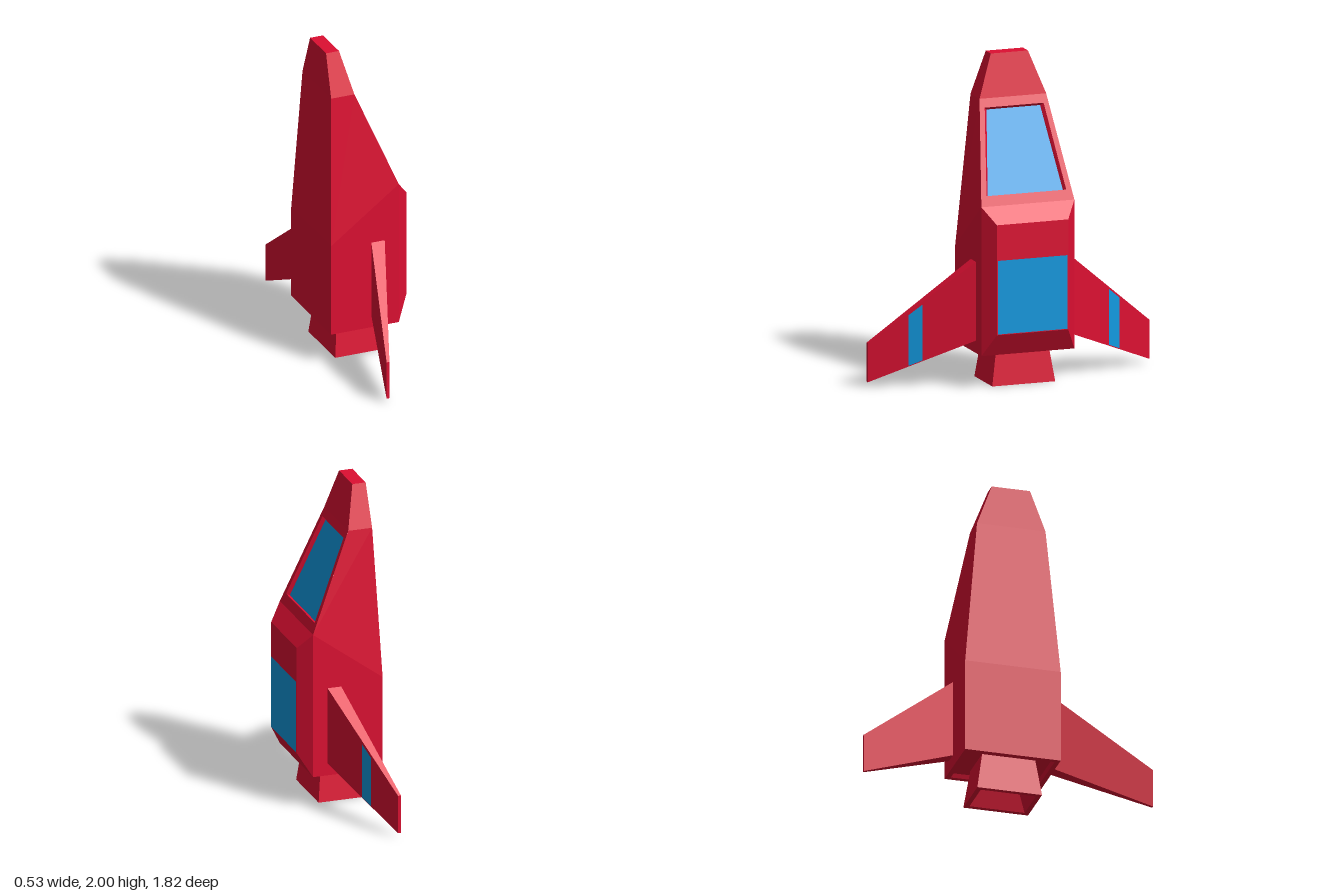
import * as THREE from 'three';

const red = new THREE.MeshStandardMaterial({ color: 0xdd0f32 });
red.name = 'hull red';
const blue = new THREE.MeshStandardMaterial({ color: 0x119ae0 });
blue.name = 'window blue';

// Joins four-cornered rings with flat quads; corners run counter-clockwise seen from the last ring's side
function loft(name, material, rings, cap = true) {
  const pos = [];
  const quad = (a, b, c, d) => pos.push(...a, ...b, ...c, ...a, ...c, ...d);
  for (let r = 0; r + 1 < rings.length; r++) {
    const a = rings[r], b = rings[r + 1];
    for (let i = 0; i < 4; i++) {
      const j = (i + 1) % 4;
      quad(a[i], a[j], b[j], b[i]);
    }
  }
  if (cap) quad(...rings[rings.length - 1]);
  const geo = new THREE.BufferGeometry();
  geo.setAttribute('position', new THREE.Float32BufferAttribute(pos, 3));
  geo.computeVertexNormals();
  const mesh = new THREE.Mesh(geo, material);
  mesh.name = name;
  return mesh;
}

// Ring across the hull: back and front edges may sit at different heights
const level = (xb, xf, hz, yb, yf = yb) =>
  [[xb, yb, hz], [xf, yf, hz], [xf, yf, -hz], [xb, yb, -hz]];

// Ring facing +x: lower and upper edges with their half widths
const facing = (x0, y0, h0, x1, y1, h1) =>
  [[x0, y0, h0], [x0, y0, -h0], [x1, y1, -h1], [x1, y1, h1]];

// Ring on the sloped canopy face, sunk by d
const slope = (y0, h0, y1, h1, d = 0) => {
  const x = y => 0.18 - (y - 1.13) * 0.418 - d * 0.92;
  return facing(x(y0), y0 - d * 0.386, h0, x(y1), y1 - d * 0.386, h1);
};

// Wing section at t from root (0) to tip (1)
const mix = THREE.MathUtils.lerp;
function wingRing(t) {
  const z = mix(0.28, 0.908, t);
  const x0 = mix(0.005, -0.167, t), x1 = mix(0.095, -0.148, t);
  const y0 = mix(0.295, 0.028, t), y1 = mix(0.79, 0.27, t);
  return [[x0, y0, z], [x1, y0, z], [x1, y1, z], [x0, y1, z]];
}
const mirror = ring => ring.map(([x, y, z]) => [x, y, -z]).reverse();

export function createModel() {
  const ship = new THREE.Group();
  ship.name = 'spacecraft';

  // Hull sides and nose; the canopy face is left open by lofting the faces separately
  const base = level(-0.265, 0.18, 0.3, 0.21);
  const shoulder = level(-0.265, 0.18, 0.3, 0.8, 1.13);
  const neck = level(-0.228, -0.075, 0.215, 1.74);
  const tip = level(-0.22, -0.135, 0.12, 2.0);
  ship.add(loft('hull', red, [base, shoulder], false));
  ship.add(loft('nose', red, [neck, tip]));
  for (const i of [0, 2, 3]) {
    const j = (i + 1) % 4;
    ship.add(loft('cabinWall', red, [[shoulder[i], shoulder[j], neck[j], neck[i]]]));
  }

  // Canopy frame with a sunken window
  const glass = slope(1.19, 0.243, 1.68, 0.173, 0.02);
  ship.add(loft('canopyFrame', red, [
    slope(1.13, 0.3, 1.74, 0.215),
    slope(1.19, 0.257, 1.688, 0.19),
    glass,
  ], false));
  ship.add(loft('canopyGlass', blue, [glass]));

  // Raised bevelled deck with a painted panel
  ship.add(loft('deck', red, [
    facing(0.18, 0.21, 0.3, 0.18, 1.13, 0.3),
    facing(0.26, 0.35, 0.23, 0.26, 1.03, 0.23),
  ]));
  ship.add(loft('deckPanel', blue, [facing(0.263, 0.355, 0.225, 0.263, 0.81, 0.225)]));

  // Recessed stern and hollow flared nozzle
  ship.add(loft('sternAndNozzle', red, [
    base,
    level(-0.235, 0.15, 0.27, 0.21),
    level(-0.225, 0.14, 0.26, 0.235),
    level(-0.172, 0.084, 0.167, 0.235),
    level(-0.195, 0.11, 0.203, 0),
    level(-0.165, 0.08, 0.173, 0),
    level(-0.125, 0.04, 0.125, 0.12),
  ].map(ring => ring.slice().reverse())));

  // Swept wings, each with a stripe on the deck side
  const inner = wingRing(0.51), outer = wingRing(0.637);
  const at = ([x, y, z], dy) => [x + 0.004, y + dy, z + 0.001];
  const stripe = [at(outer[1], 0.006), at(inner[1], 0.006), at(inner[2], -0.015), at(outer[2], -0.015)];
  const wing = [wingRing(0), wingRing(1)];
  ship.add(loft('leftWing', red, wing));
  ship.add(loft('rightWing', red, wing.map(mirror)));
  ship.add(loft('leftWingStripe', blue, [stripe]));
  ship.add(loft('rightWingStripe', blue, [mirror(stripe)]));

  return ship;
}
